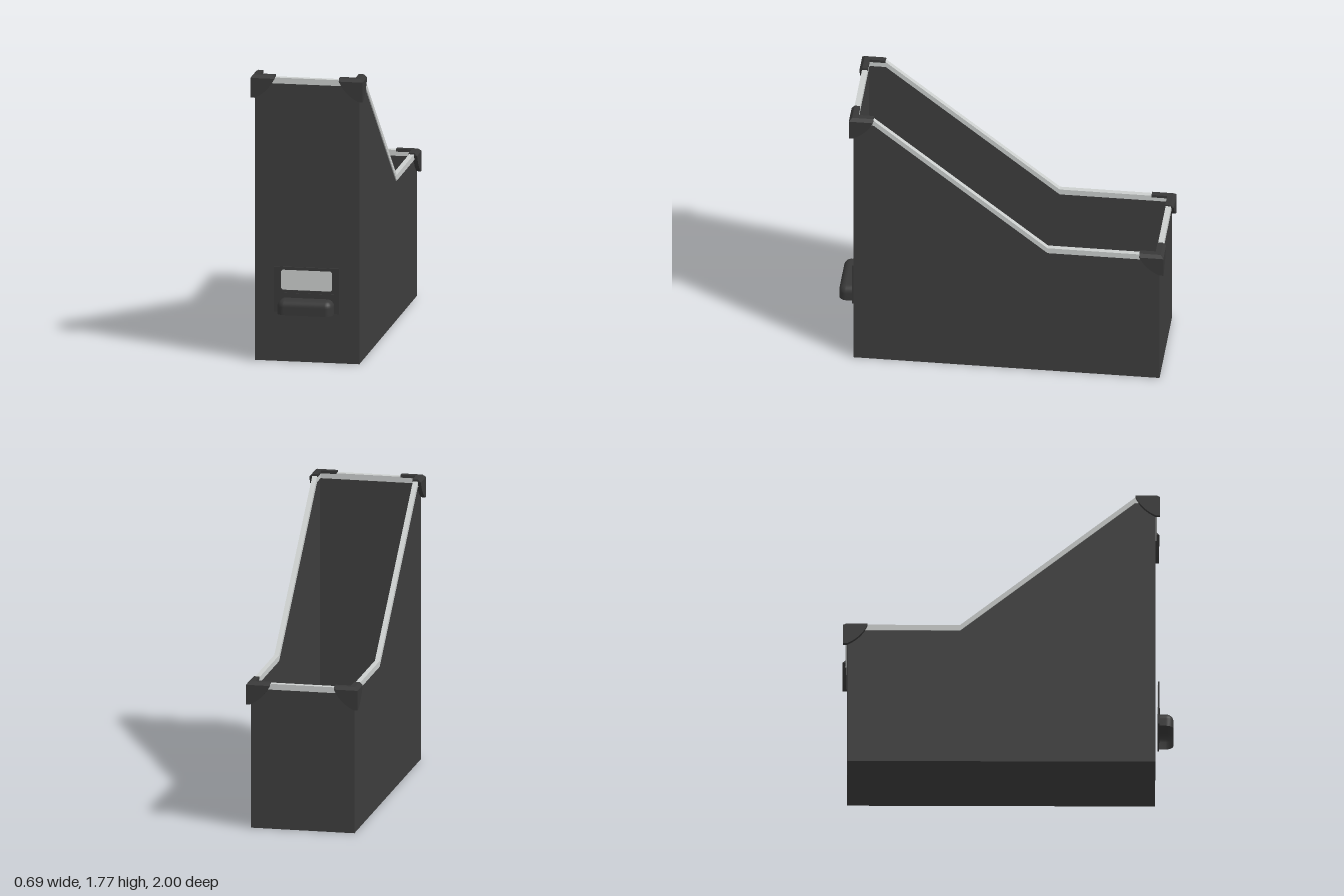
import * as THREE from 'three';

const ZC = -0.04;              // body centre in z
const HX = 0.32, HZ = 0.93;    // half width and half depth of the body
const WALL = 0.02;

const charcoal = new THREE.MeshStandardMaterial({ color: 0x3d3d3d, side: THREE.DoubleSide });
charcoal.name = 'charcoal board';
const black = new THREE.MeshStandardMaterial({ color: 0x383838, side: THREE.DoubleSide });
black.name = 'dark fittings';
const pale = new THREE.MeshStandardMaterial({ color: 0xcbcecd });
pale.name = 'pale trim';

function add(parent, name, geometry, material) {
  const mesh = new THREE.Mesh(geometry, material);
  mesh.name = name;
  parent.add(mesh);
  return mesh;
}

function box(parent, name, material, x0, x1, y0, y1, z0, z1) {
  const geometry = new THREE.BoxGeometry(x1 - x0, y1 - y0, z1 - z0);
  geometry.translate((x0 + x1) / 2, (y0 + y1) / 2, (z0 + z1) / 2);
  return add(parent, name, geometry, material);
}

function polygon(points) {
  return new THREE.Shape(points.map(([x, y]) => new THREE.Vector2(x, y)));
}

function extrude(shape, depth) {
  return new THREE.ExtrudeGeometry(shape, { depth, bevelEnabled: false, curveSegments: 10 });
}

// Extrudes a (z, y) outline across x, from x0 to x0 + depth
function sidePlate(points, x0, depth) {
  return extrude(polygon(points), depth).rotateY(-Math.PI / 2).translate(x0 + depth, 0, 0);
}

// Corner cap with its outer top corner at the origin and arms along -x and -z
function makeCap() {
  const cap = new THREE.Group();
  const arm = 0.147, drop = 0.14, t = 0.025, lip = 0.018;
  const flap = new THREE.Shape();
  flap.moveTo(0, -lip);
  flap.lineTo(-arm, -lip);
  flap.quadraticCurveTo(-0.108, -0.1, -t, -drop);
  flap.lineTo(0, -drop);
  add(cap, 'capFlap', extrude(flap, t).translate(0, 0, -t), black);
  add(cap, 'capFlap', extrude(flap, t).rotateY(-Math.PI / 2), black);

  // L-shaped top with chamfered outer edges
  const w = 0.052;
  const top = extrude(polygon([[0, 0], [-arm, 0], [-arm, -w], [-w, -w], [-w, -arm], [0, -arm]]), lip);
  top.rotateX(Math.PI / 2);
  const p = top.attributes.position;
  for (let i = 0; i < p.count; i++) {
    if (p.getY(i) > -0.001) {
      p.setX(i, Math.min(p.getX(i), -lip));
      p.setZ(i, Math.min(p.getZ(i), -lip));
    }
  }
  top.computeVertexNormals();
  add(cap, 'capTop', top, black);
  return cap;
}

// Hollow cup pull: rounded sections stacked upward, open below and behind
function pullGeometry(halfWidth, depth, height, radius) {
  const rows = [[0, 0, 1]];
  for (let i = 0; i <= 6; i++) {
    const a = (i / 6) * Math.PI / 2;
    rows.push([radius * (1 - Math.cos(a)), height - radius + radius * Math.sin(a), 1]);
  }
  const section = ([inset, y, d]) => {
    const w = halfWidth - inset, f = depth - inset, r = Math.max(0.045 - inset, 0.006);
    const half = [[w, 0]];
    for (let i = 0; i <= 6; i++) {
      const a = (i / 6) * Math.PI / 2;
      half.push([w - r + r * Math.cos(a), f - r + r * Math.sin(a)]);
    }
    const left = half.slice().reverse().map(([x, z]) => [-x, z]);
    return [...half, ...left].map(([x, z]) => [x, y, z * d]);
  };
  const rings = rows.map(section);
  const n = rings[0].length, verts = [], index = [];
  rings.forEach(ring => ring.forEach(v => verts.push(...v)));
  for (let j = 0; j < rings.length - 1; j++) {
    for (let i = 0; i < n - 1; i++) {
      const a = j * n + i, b = a + 1, c = a + n, d = c + 1;
      index.push(a, c, b, b, c, d);
    }
  }
  // flat top
  const last = (rings.length - 1) * n;
  for (let i = 1; i < n - 1; i++) index.push(last, last + i + 1, last + i);
  const geometry = new THREE.BufferGeometry();
  geometry.setAttribute('position', new THREE.Float32BufferAttribute(verts, 3));
  geometry.setIndex(index);
  geometry.computeVertexNormals();
  return geometry;
}

export function createModel() {
  const model = new THREE.Group();
  model.name = 'magazineFile';
  const zF = ZC + HZ, zB = ZC - HZ;

  // Box body
  const body = new THREE.Group();
  body.name = 'body';
  model.add(body);
  const wall = [[zB, 0], [zF, 0], [zF, 1.74], [0.765, 1.74], [-0.287, 0.89], [zB, 0.89]];
  add(body, 'leftWall', sidePlate(wall, HX - WALL, WALL), charcoal);
  add(body, 'rightWall', sidePlate(wall, -HX, WALL), charcoal);
  const ix = HX - WALL;
  box(body, 'floor', charcoal, -ix, ix, 0, WALL, zB + WALL, zF - WALL);
  box(body, 'frontWall', charcoal, -ix, ix, 0, 1.74, zF - WALL, zF);
  box(body, 'backWall', charcoal, -ix, ix, 0, 0.89, zB, zB + WALL);

  // Pale edging along the open top
  const rim = new THREE.Group();
  rim.name = 'rim';
  model.add(rim);
  const rF = zF + 0.01, rB = zB - 0.01, h = 0.036;
  const edge = [[rF, 1.757], [0.767, 1.757], [-0.29, 0.905], [rB, 0.905]];
  const band = [...edge, ...edge.slice().reverse().map(([z, y]) => [z, y - h])];
  add(rim, 'leftRim', sidePlate(band, 0.296, 0.03), pale);
  add(rim, 'rightRim', sidePlate(band, -0.326, 0.03), pale);
  box(rim, 'frontRim', pale, -0.296, 0.296, 1.757 - h, 1.757, rF - 0.034, rF);
  box(rim, 'backRim', pale, -0.296, 0.296, 0.905 - h, 0.905, rB, rB + 0.034);

  // Corner caps, one quarter turn apart
  const corners = [[1, 1], [1, -1], [-1, -1], [-1, 1]];
  corners.forEach(([sx, sz], k) => {
    const cap = makeCap();
    cap.name = 'cornerCap';
    cap.rotation.y = k * Math.PI / 2;
    cap.position.set(sx * 0.345, sz > 0 ? 1.77 : 0.913, ZC + sz * 0.956);
    model.add(cap);
  });

  // Label holder with window, card, ridge and pull
  const holder = new THREE.Group();
  holder.name = 'labelHolder';
  model.add(holder);
  const frame = polygon([[-0.2, 0.31], [0.2, 0.31], [0.2, 0.59], [-0.2, 0.59]]);
  const c = 0.01, wx = 0.157, y0 = 0.447, y1 = 0.572;
  frame.holes.push(polygon([
    [-wx + c, y0], [-wx, y0 + c], [-wx, y1 - c], [-wx + c, y1],
    [wx - c, y1], [wx, y1 - c], [wx, y0 + c], [wx - c, y0],
  ]));
  add(holder, 'labelFrame', extrude(frame, 0.01).translate(0, 0, 0.905), black);
  box(holder, 'labelCard', pale, -0.17, 0.17, 0.435, 0.58, 0.904, 0.909);
  box(holder, 'labelRidge', black, -0.168, 0.168, 0.423, 0.43, 0.91, 0.918);
  const pull = add(holder, 'pull', pullGeometry(0.17, 0.087, 0.09, 0.042), black);
  pull.position.set(0, 0.31, 0.913);

  return model;
}
